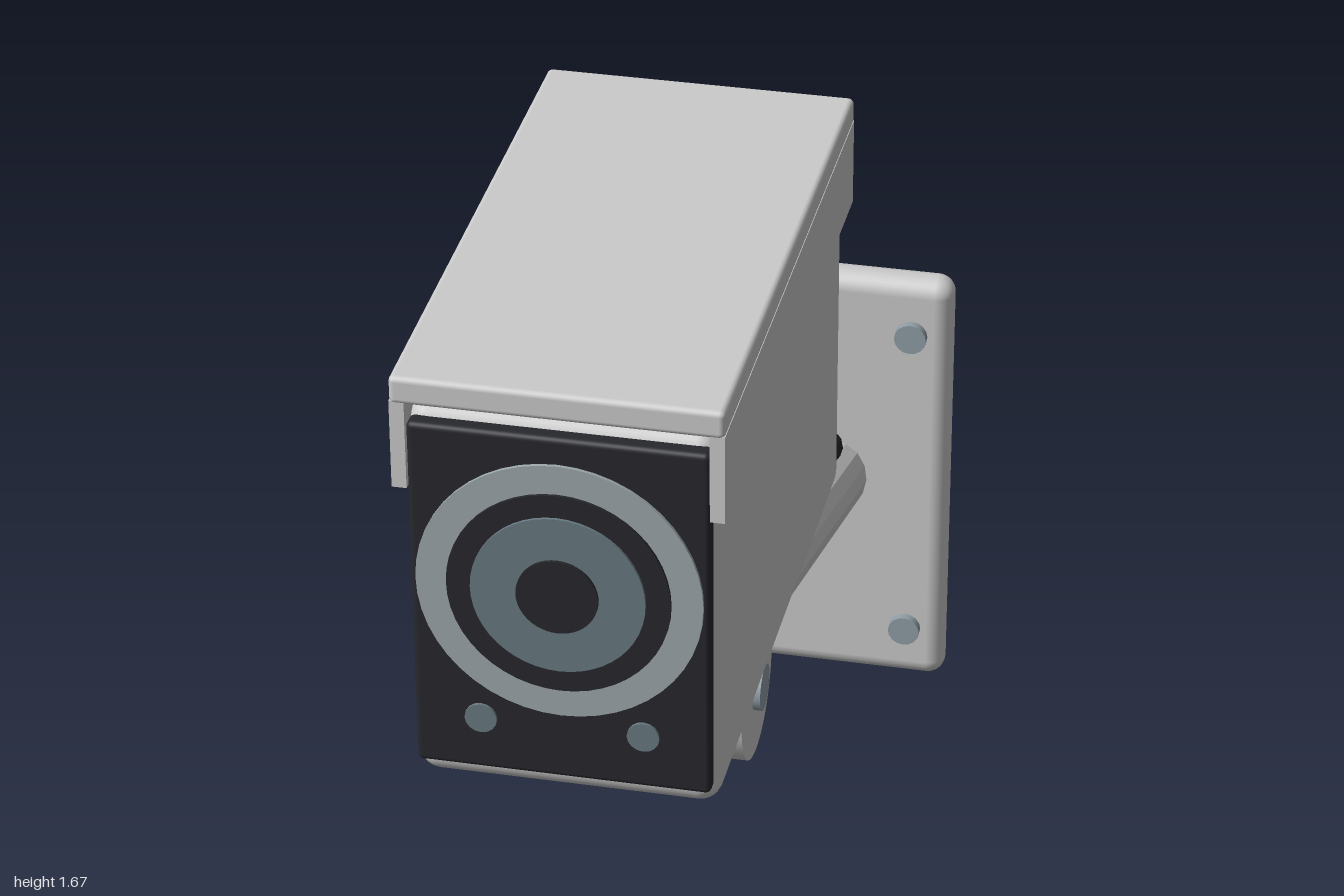
import * as THREE from 'three';
import { RoundedBoxGeometry } from 'three/addons/geometries/RoundedBoxGeometry.js';

const mat = (color, flatShading = false) => new THREE.MeshStandardMaterial({ color, flatShading });

export function createModel() {
  const model = new THREE.Group();
  const grey = mat(0xcccccc), greyFlat = mat(0xcccccc, true);
  const dark = mat(0x27282d), black = mat(0x24272b, true);
  const silver = mat(0x9ca7ac), teal = mat(0x687a82), steel = mat(0x919ea7);

  const add = (name, geometry, material, x = 0, y = 0, z = 0) => {
    const mesh = new THREE.Mesh(geometry, material);
    mesh.name = name;
    mesh.position.set(x, y, z);
    model.add(mesh);
    return mesh;
  };
  // Box given by its extents on y and z, centred on x
  const box = (name, x, w, y0, y1, z0, z1, r, material = grey) => add(name,
    r ? new RoundedBoxGeometry(w, y1 - y0, z1 - z0, 3, r) : new THREE.BoxGeometry(w, y1 - y0, z1 - z0),
    material, x, (y0 + y1) / 2, (z0 + z1) / 2);
  // Disc facing the front, from z0 to z1
  const disc = (name, r, x, y, z0, z1, material) => add(name,
    new THREE.CylinderGeometry(r, r, z1 - z0, r > 0.04 ? 48 : 16).rotateX(Math.PI / 2),
    material, x, y, (z0 + z1) / 2);
  // Straight rod between two [y, z] points in the middle plane
  const rod = (name, r, sides, a, b, material) => {
    const from = new THREE.Vector3(0, ...a), to = new THREE.Vector3(0, ...b);
    const dir = to.clone().sub(from);
    const mesh = add(name, new THREE.CylinderGeometry(r, r, dir.length(), sides), material);
    mesh.position.copy(from).add(to).multiplyScalar(0.5);
    mesh.quaternion.setFromUnitVectors(new THREE.Vector3(0, 1, 0), dir.normalize());
  };

  // Housing and sun hood
  box('housing', 0, 0.414, 1.04, 1.615, 0.11, 0.965, 0.03);
  box('hoodTop', 0, 0.44, 1.628, 1.668, 0.108, 0.988, 0.008);
  for (const s of [-1, 1]) box('hoodSide', s * 0.21, 0.02, 1.503, 1.632, 0.11, 0.986, 0);

  // Front panel with stacked lens rings and two small lights
  box('frontPanel', 0, 0.4, 1.075, 1.6, 0.955, 0.983, 0.008, dark);
  const rings = [[0.192, silver], [0.15, dark], [0.117, teal], [0.055, dark]];
  rings.forEach(([r, m], i) => disc('lensRing', r, 0, 1.37, 0.97, 0.988 + i * 0.004, m));
  for (const s of [-1, 1]) disc('indicatorLight', 0.022, s * 0.11, 1.157, 0.97, 0.987, teal);

  // Neck and hinge
  box('neck', 0, 0.19, 0.83, 1.06, 0.2, 0.47, 0);
  add('hingeBarrel', new THREE.CylinderGeometry(0.109, 0.109, 0.262, 40).rotateZ(Math.PI / 2),
    grey, 0, 0.815, 0.338);
  add('hingeBolt', new THREE.CylinderGeometry(0.035, 0.035, 0.286, 20).rotateZ(Math.PI / 2),
    steel, 0, 0.815, 0.338);

  // Arm, wall plate and screws
  rod('arm', 0.064, 16, [0.775, 0.32], [0.398, -0.92], greyFlat);
  box('wallPlate', 0, 0.4, 0, 0.78, -1, -0.935, 0.03);
  for (const x of [-0.133, 0.133])
    for (const y of [0.1, 0.68]) disc('plateScrew', 0.027, x, y, -0.95, -0.92, steel);

  // Cable in straight segments, from the housing to the arm
  const cable = [[1.32, 0.13], [1.32, -0.165], [1.18, -0.42], [0.93, -0.52], [0.595, -0.543], [0.487, -0.87]];
  for (let i = 1; i < cable.length; i++) rod('cableSegment', 0.032, 12, cable[i - 1], cable[i], black);

  return model;
}
